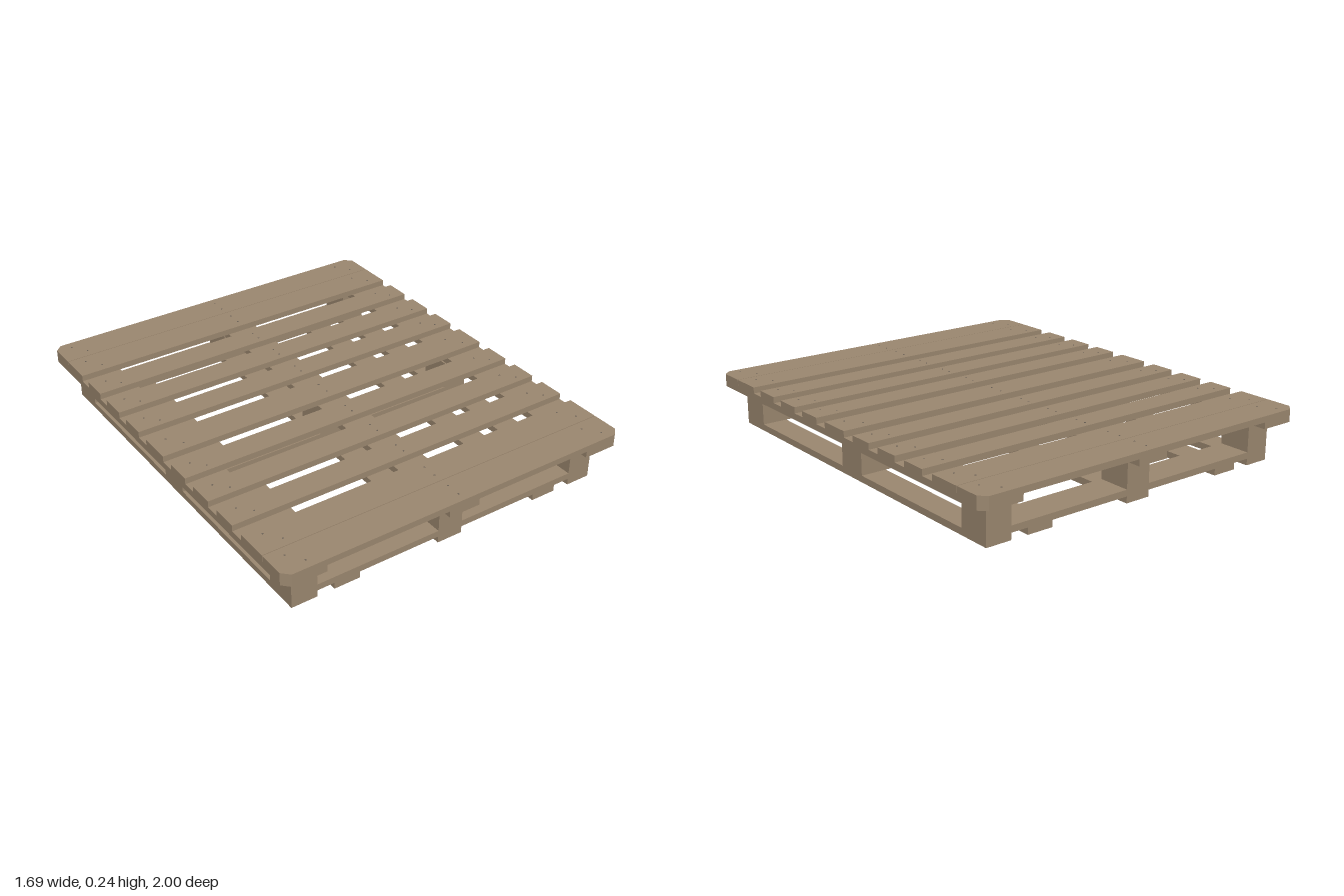
import * as THREE from 'three';

export function createModel() {
  const pallet = new THREE.Group();
  pallet.name = 'pallet';
  const wood = new THREE.MeshStandardMaterial({ color: 0x9c8870 });
  wood.name = 'wood';
  const steel = new THREE.MeshStandardMaterial({ color: 0x6e6459 });
  steel.name = 'nail steel';

  // Board between two x, y and z limits
  function board(name, x0, x1, y0, y1, z0, z1) {
    const mesh = new THREE.Mesh(new THREE.BoxGeometry(x1 - x0, y1 - y0, z1 - z0), wood);
    mesh.position.set((x0 + x1) / 2, (y0 + y1) / 2, (z0 + z1) / 2);
    mesh.name = name;
    pallet.add(mesh);
  }

  // Board whose corners lying on the pallet's outer corners are cut off
  function cutBoard(name, x0, x1, y0, y1, z0, z1) {
    const cut = 0.032;
    const points = [];
    const corners = [[x0, z0], [x1, z0], [x1, z1], [x0, z1]];
    corners.forEach(([x, z], i) => {
      if (Math.abs(x) < 0.84 || Math.abs(z) < 0.99) {
        points.push(new THREE.Vector2(x, -z));
        return;
      }
      const alongX = new THREE.Vector2(x - Math.sign(x) * cut, -z);
      const alongZ = new THREE.Vector2(x, -(z - Math.sign(z) * cut));
      points.push(...(i % 2 ? [alongX, alongZ] : [alongZ, alongX]));
    });
    const geometry = new THREE.ExtrudeGeometry(new THREE.Shape(points), { depth: y1 - y0, bevelEnabled: false });
    geometry.rotateX(-Math.PI / 2);
    const mesh = new THREE.Mesh(geometry, wood);
    mesh.position.y = y0;
    mesh.name = name;
    pallet.add(mesh);
  }

  // Heights of the layers
  const runnerTop = 0.03, crossTop = 0.059, blockTop = 0.184, stringerTop = 0.214, deckTop = 0.242;
  const blockX = [[-0.766, -0.648], [-0.06, 0.06], [0.648, 0.766]];
  const blockZ = [[-0.92, -0.77], [-0.075, 0.075], [0.77, 0.92]];

  // Bottom runners along the length
  for (const [a, b] of [...blockX, [-0.568, -0.448], [0.448, 0.568]]) {
    board('bottomRunner', a, b, 0, runnerTop, -0.92, 0.92);
  }

  // Bottom cross boards and the nine blocks
  for (const [z0, z1] of blockZ) {
    board('bottomCrossBoard', -0.766, 0.766, runnerTop, crossTop, z0, z1);
    for (const [x0, x1] of blockX) board('block', x0, x1, crossTop, blockTop, z0, z1);
  }

  // Stringers under the deck
  for (const [a, b] of [[-0.845, -0.655], [-0.075, 0.075], [0.655, 0.845]]) {
    cutBoard('stringer', a, b, blockTop, stringerTop, -1, 1);
  }

  // Deck slats, mirrored front to back around the middle one
  const half = [[0.143, 0.261], [0.326, 0.446], [0.511, 0.63], [0.695, 0.846], [0.849, 1]];
  const slats = [[-0.075, 0.075], ...half, ...half.map(([a, b]) => [-b, -a])];
  const nailGeometry = new THREE.CylinderGeometry(0.004, 0.004, 0.002, 8);
  for (const [z0, z1] of slats) {
    cutBoard('deckSlat', -0.845, 0.845, stringerTop, deckTop, z0, z1);
    // Two nails into each stringer
    const middle = (z0 + z1) / 2, step = (z1 - z0) * 0.22;
    for (const side of [-1, 1]) {
      for (const x of [-0.75 + side * 0.025, 0, 0.75 + side * 0.025]) {
        const nail = new THREE.Mesh(nailGeometry, steel);
        nail.position.set(x, deckTop, middle + side * step);
        nail.name = 'nailHead';
        pallet.add(nail);
      }
    }
  }
  return pallet;
}
